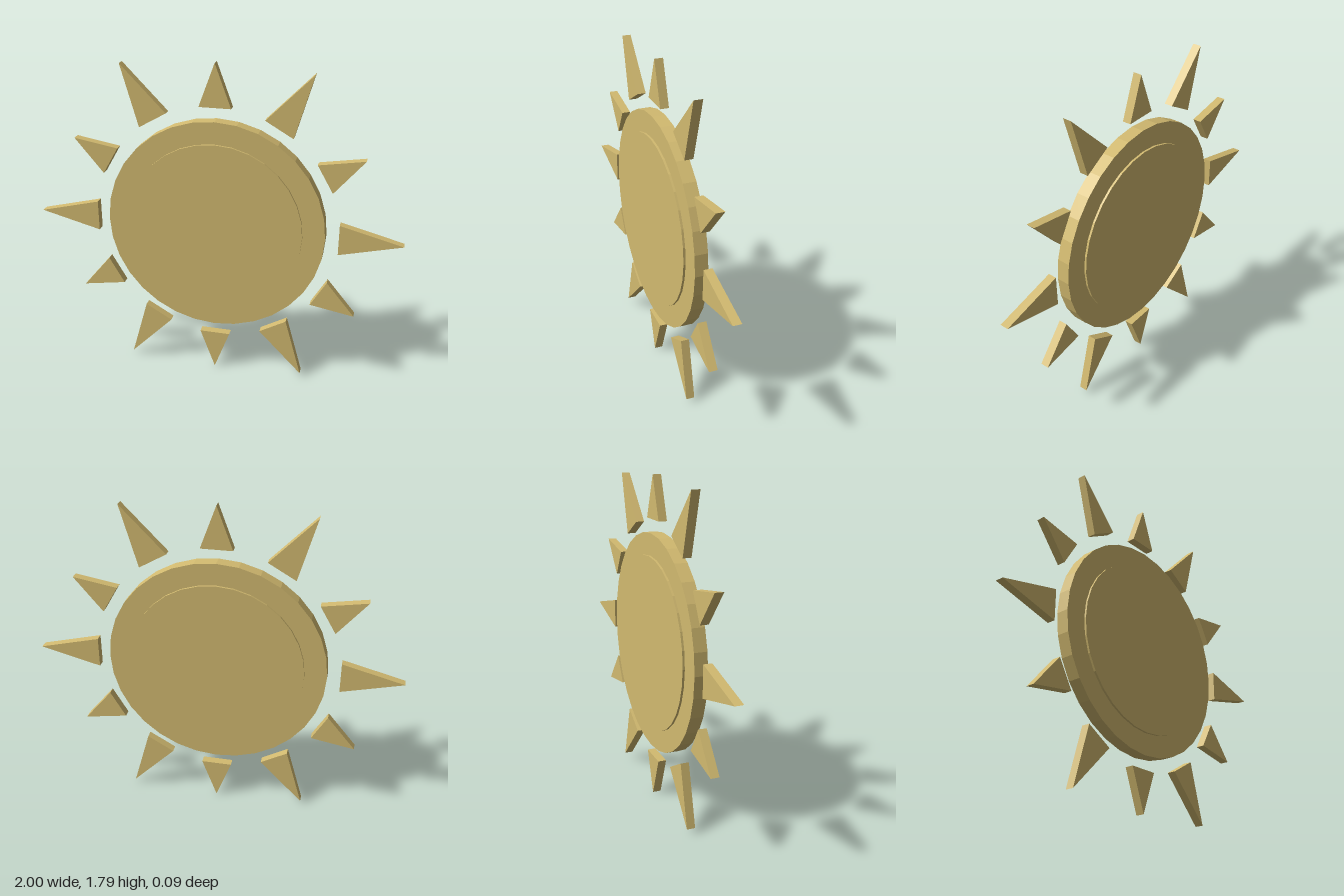
import * as THREE from 'three';

const CENTRE_Y = 0.9;

export function createModel() {
  const model = new THREE.Group();
  model.name = 'sunOrnament';
  const gold = new THREE.MeshStandardMaterial({ color: 0xd2ba70 });
  gold.name = 'gold';
  gold.flatShading = true;

  // Flat round plate facing the front
  const addDisc = (name, radius, depth) => {
    const geometry = new THREE.CylinderGeometry(radius, radius, depth, 32).rotateX(Math.PI / 2);
    const disc = new THREE.Mesh(geometry, gold);
    disc.name = name;
    disc.position.y = CENTRE_Y;
    model.add(disc);
  };
  addDisc('outerDisc', 0.596, 0.07);
  addDisc('raisedInnerDisc', 0.477, 0.093);

  // Triangular ray pointing along +x, extruded to an even thickness
  const rayGeometry = (tip) => {
    const shape = new THREE.Shape([
      new THREE.Vector2(0.666, -0.085),
      new THREE.Vector2(tip, 0),
      new THREE.Vector2(0.666, 0.085),
    ]);
    return new THREE.ExtrudeGeometry(shape, { depth: 0.046, bevelEnabled: false }).translate(0, 0, -0.023);
  };
  const longRay = rayGeometry(1);
  const shortRay = rayGeometry(0.895);

  // Twelve rays, alternately long and short
  for (let i = 0; i < 12; i++) {
    const isLong = i % 2 === 0;
    const ray = new THREE.Mesh(isLong ? longRay : shortRay, gold);
    ray.name = isLong ? 'longRay' : 'shortRay';
    ray.position.y = CENTRE_Y;
    ray.rotation.z = (i * Math.PI) / 6;
    model.add(ray);
  }
  return model;
}
